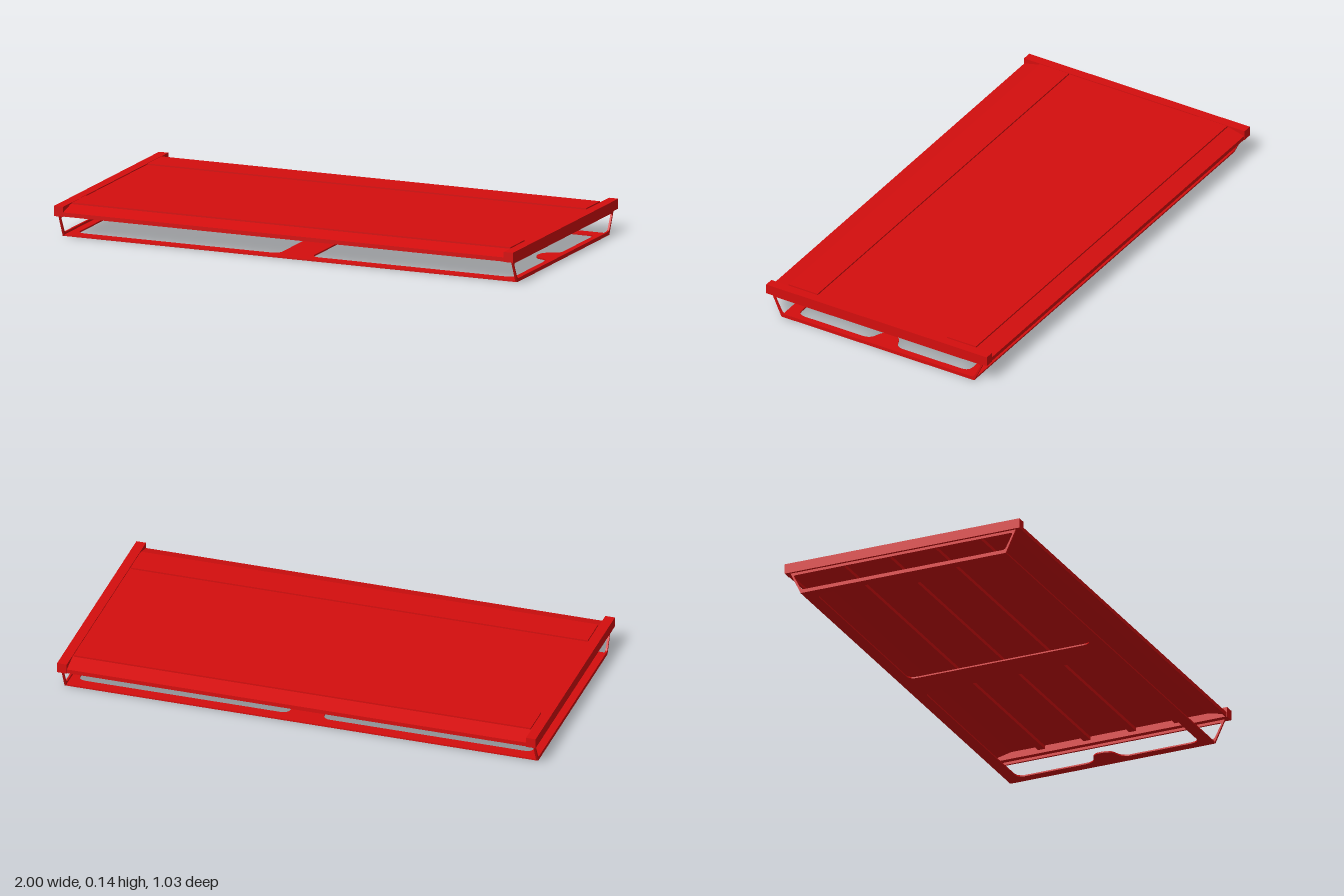
import * as THREE from 'three';

const red = new THREE.MeshStandardMaterial({ color: 0xd40e0e, flatShading: true, side: THREE.DoubleSide });

// Closed path through points, each corner rounded by r
function rounded(points, r, path) {
  const v = points.map(([x, y]) => new THREE.Vector2(x, y));
  v.forEach((p, i) => {
    const prev = v[(i + v.length - 1) % v.length], next = v[(i + 1) % v.length];
    const a = p.clone().add(prev.clone().sub(p).setLength(r));
    const b = p.clone().add(next.clone().sub(p).setLength(r));
    if (i === 0) path.moveTo(a.x, a.y); else path.lineTo(a.x, a.y);
    path.quadraticCurveTo(p.x, p.y, b.x, b.y);
  });
  path.closePath();
  return path;
}

const polygon = pts => new THREE.Shape(pts.map(([x, y]) => new THREE.Vector2(x, y)));

const extrude = (shape, depth) =>
  new THREE.ExtrudeGeometry(shape, { depth, bevelEnabled: false, curveSegments: 5 });

export function createModel() {
  const group = new THREE.Group();

  const add = (name, geometry, x = 0, y = 0, z = 0) => {
    const mesh = new THREE.Mesh(geometry, red);
    mesh.name = name;
    mesh.position.set(x, y, z);
    group.add(mesh);
    return mesh;
  };
  const box = (name, w, h, d, x, y, z) => add(name, new THREE.BoxGeometry(w, h, d), x, y, z);

  // Deck sheet: flat middle, edges sloping out to a short vertical lip
  const half = [[0.435, 0.131], [0.513, 0.112], [0.513, 0.095], [0.505, 0.095], [0.505, 0.106], [0.433, 0.123]];
  const mirrored = half.map(([z, y]) => [-z, y]).reverse();
  const deck = extrude(polygon([...half, ...mirrored]), 1.92);
  deck.translate(0, 0, -0.96).rotateY(Math.PI / 2);
  add('deck', deck);

  // Lengthwise pads on top and stiffeners underneath
  for (const s of [-1, 1]) {
    box('deckPad', 1.91, 0.008, 0.135, 0, 0.133, s * 0.37);
    for (const z of [0.1, 0.3]) box('deckStiffener', 1.92, 0.015, 0.03, 0, 0.116, s * z);
  }

  for (const s of [-1, 1]) {
    // Rails closing the short ends
    box('endRail', 0.04, 0.041, 1.03, s * 0.98, 0.1145, 0);

    // Tapered end frame with a rounded window
    const frame = polygon([[-0.45, 0], [0.45, 0], [0.495, 0.096], [-0.495, 0.096]]);
    frame.holes.push(rounded([[-0.447, 0.015], [0.447, 0.015], [0.482, 0.083], [-0.482, 0.083]], 0.012, new THREE.Path()));
    const geo = extrude(frame, 0.008);
    geo.translate(0, 0, -0.004).rotateY(Math.PI / 2);
    add('endFrame', geo, s * 0.986);
  }

  // Thin base plate with two large rounded openings, each with a short tab at its outer end
  const base = polygon([[-0.99, -0.45], [0.99, -0.45], [0.99, 0.45], [-0.99, 0.45]]);
  for (const s of [-1, 1]) {
    const opening = [[0.07, -0.4], [0.95, -0.4], [0.95, -0.06], [0.88, -0.04], [0.88, 0.04], [0.95, 0.06], [0.95, 0.4], [0.07, 0.4]];
    base.holes.push(rounded(opening.map(([x, z]) => [s * x, z]), 0.035, new THREE.Path()));
  }
  const plate = extrude(base, 0.006);
  plate.rotateX(-Math.PI / 2);
  add('basePlate', plate);

  return group;
}
